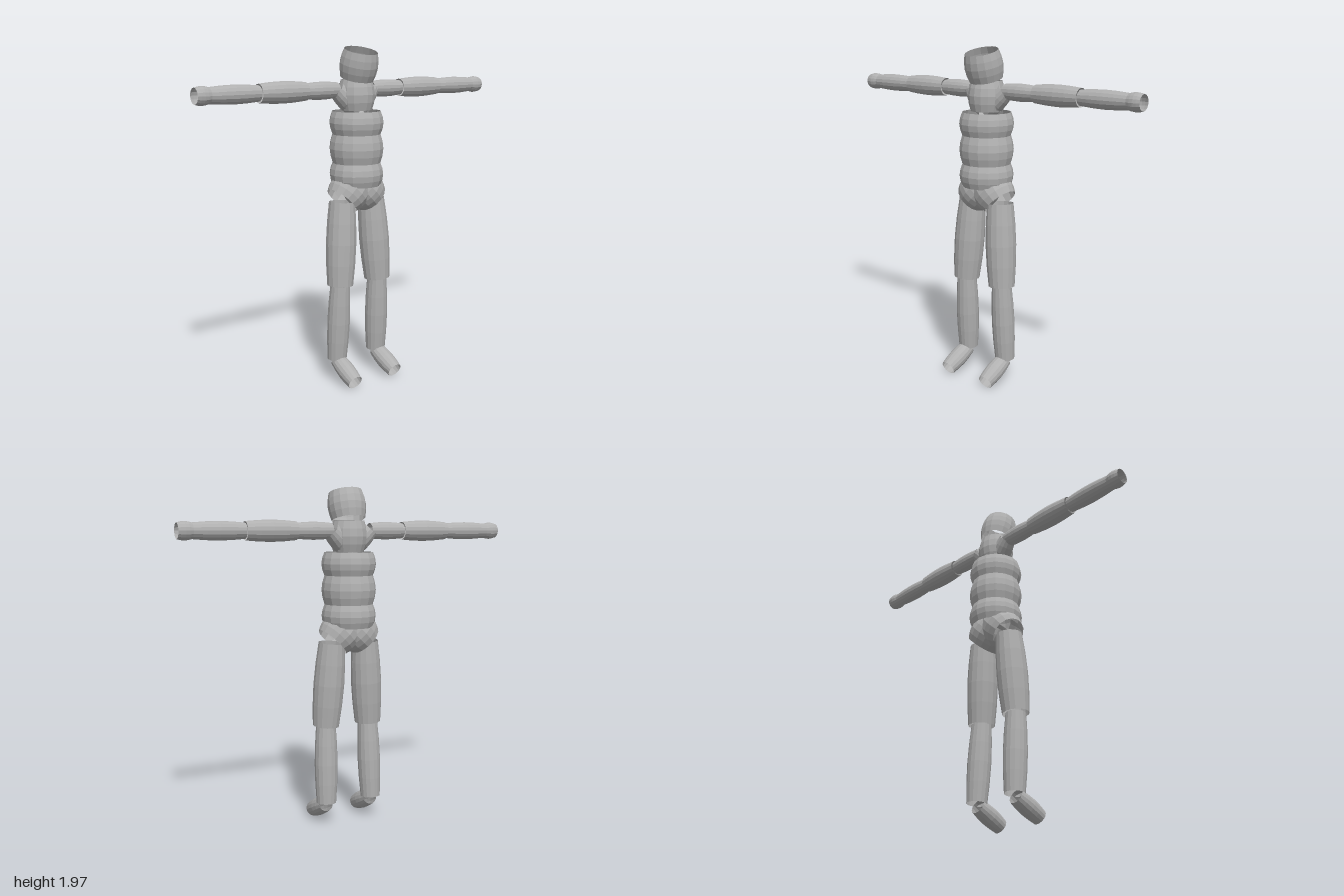
import * as THREE from 'three';

const SIDES = 16, RINGS = 4;

export function createModel() {
  const model = new THREE.Group();
  model.name = 'jointedFigure';
  const grey = new THREE.MeshStandardMaterial({ color: 0xb0b0b0, flatShading: true, side: THREE.DoubleSide });
  grey.name = 'plain grey';

  // Open barrel running from point a to point b, swelling from rEnd to rMid
  function barrel(name, a, b, rEnd, rMid) {
    const from = new THREE.Vector3(...a), to = new THREE.Vector3(...b);
    const axis = to.clone().sub(from), length = axis.length();
    const profile = [];
    for (let i = 0; i <= RINGS; i++) {
      const t = i / RINGS;
      profile.push(new THREE.Vector2(rEnd + (rMid - rEnd) * Math.sin(Math.PI * t), (t - 0.5) * length));
    }
    const mesh = new THREE.Mesh(new THREE.LatheGeometry(profile, SIDES), grey);
    mesh.name = name;
    mesh.position.copy(from).add(to).multiplyScalar(0.5);
    mesh.quaternion.setFromUnitVectors(new THREE.Vector3(0, 1, 0), axis.normalize());
    model.add(mesh);
  }

  // Head, neck and the three torso barrels
  barrel('head', [0, 1.79, -0.02], [0, 1.945, 0.022], 0.096, 0.11);
  barrel('neck', [0, 1.61, -0.02], [0, 1.785, -0.025], 0.088, 0.107);
  barrel('chest', [0, 1.475, -0.023], [0, 1.607, -0.023], 0.14, 0.157);
  barrel('waist', [0, 1.31, -0.023], [0, 1.475, -0.023], 0.14, 0.157);
  barrel('belly', [0, 1.178, -0.023], [0, 1.31, -0.023], 0.14, 0.157);

  // Limbs, mirrored: name, start, end, end radius, middle radius
  const limbs = [
    ['Collar', [0, 1.61, -0.022], [0.122, 1.73, -0.045], 0.05, 0.06],
    ['Shoulder', [0.122, 1.727, -0.045], [0.335, 1.727, -0.045], 0.043, 0.05],
    ['UpperArm', [0.335, 1.727, -0.045], [0.63, 1.727, -0.045], 0.051, 0.06],
    ['Forearm', [0.63, 1.727, -0.045], [0.92, 1.727, -0.045], 0.043, 0.051],
    ['Hand', [0.92, 1.727, -0.045], [1, 1.727, -0.045], 0.043, 0.05],
    ['Hip', [0, 1.2, -0.022], [0.105, 1.095, -0.022], 0.103, 0.122],
    ['Thigh', [0.107, 1.09, -0.02], [0.138, 0.6, 0], 0.077, 0.09],
    ['Shin', [0.138, 0.6, 0], [0.147, 0.14, -0.023], 0.058, 0.068],
    ['Foot', [0.147, 0.128, -0.014], [0.15, 0.045, 0.161], 0.045, 0.054],
  ];
  for (const [side, s] of [['left', 1], ['right', -1]]) {
    for (const [name, a, b, rEnd, rMid] of limbs) {
      barrel(side + name, [s * a[0], a[1], a[2]], [s * b[0], b[1], b[2]], rEnd, rMid);
    }
  }
  return model;
}
